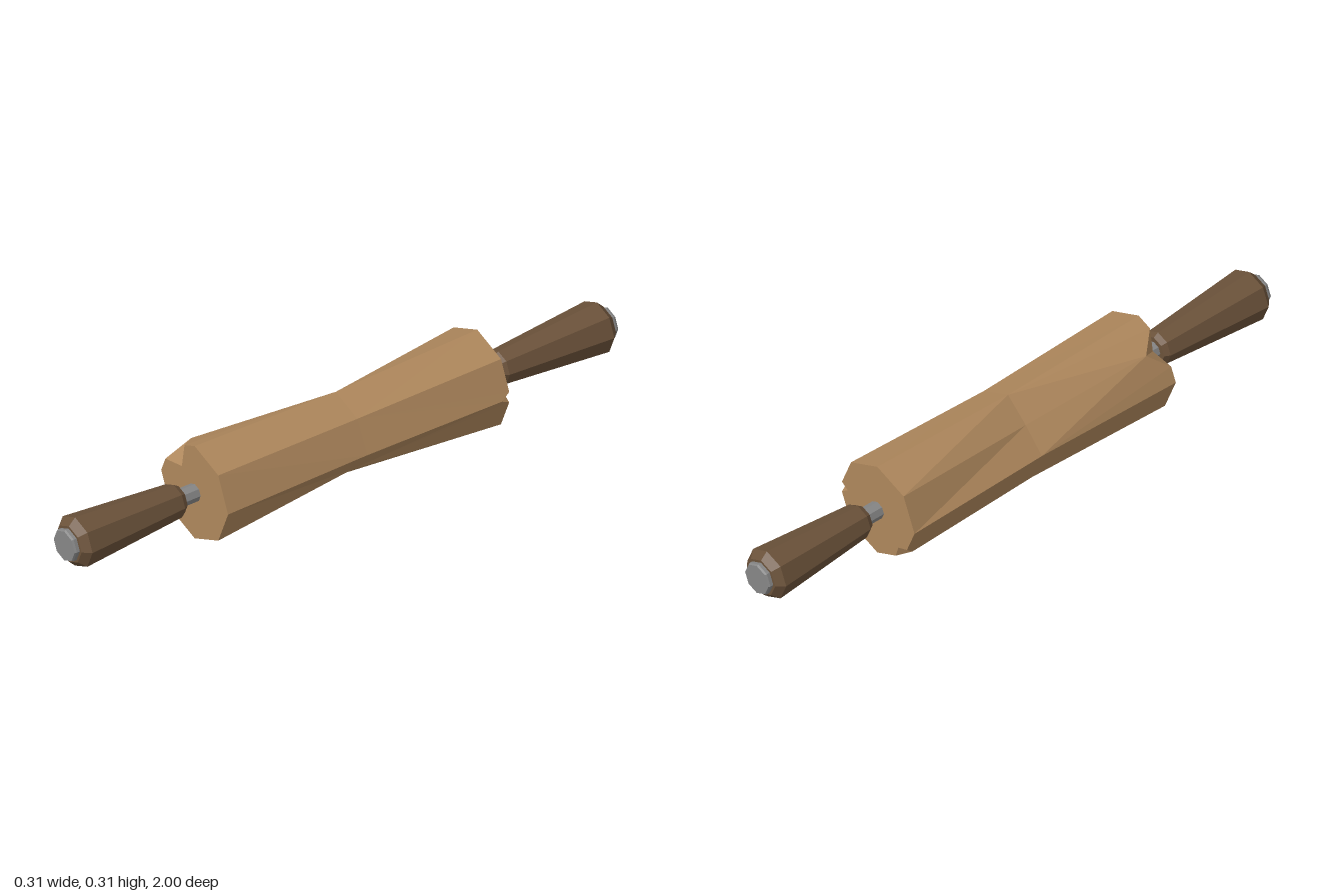
import * as THREE from 'three';

const SIDES = 8, CENTER_Y = 0.16;
const wood = new THREE.MeshStandardMaterial({ color: 0xae875c });
wood.name = 'lightWood';
const darkWood = new THREE.MeshStandardMaterial({ color: 0x6b523a });
darkWood.name = 'darkWood';
const metal = new THREE.MeshStandardMaterial({ color: 0x868686 });
metal.name = 'metal';

// Separate corners so every face is shaded flat
function faceted(geometry) {
  const g = geometry.index ? geometry.toNonIndexed() : geometry;
  g.computeVertexNormals();
  return g;
}

function addMesh(parent, name, geometry, material) {
  const mesh = new THREE.Mesh(faceted(geometry), material);
  mesh.name = name;
  parent.add(mesh);
}

// Eight-sided turned part along z
function turned(profile) {
  const points = profile.map(([r, z]) => new THREE.Vector2(r, z));
  return new THREE.LatheGeometry(points, SIDES).rotateX(Math.PI / 2);
}

function ring(z, radii) {
  return radii.map((r, i) => {
    const a = (i / SIDES) * Math.PI * 2;
    return new THREE.Vector3(Math.cos(a) * r, Math.sin(a) * r, z);
  });
}

// Waisted roller with dented middle corners and chipped end corners
function rollerGeometry() {
  const positions = [];
  const fan = (points, flip) => {
    for (let k = 1; k < points.length - 1; k++) {
      const tri = [points[0], points[k], points[k + 1]];
      if (flip) tri.reverse();
      tri.forEach((p) => positions.push(p.x, p.y, p.z));
    }
  };

  const middle = ring(0, [0.148, 0.143, 0.144, 0.106, 0.143, 0.143, 0.142, 0.113]);
  const ends = [
    { z: 0.52, chips: { 3: { along: 0.57, inward: 0.46, depth: 0.135 } } },
    {
      z: -0.52,
      chips: {
        0: { along: 0.16, inward: 0.2, depth: 0.06 },
        5: { along: 0.3, inward: 0.2, depth: 0.07 },
      },
    },
  ];

  for (const { z, chips } of ends) {
    const flip = z < 0;
    const center = new THREE.Vector3(0, 0, z);
    const rim = ring(z, Array(SIDES).fill(0.157));
    const corners = rim.map((v, i) => {
      const chip = chips[i];
      if (!chip) return { before: [v], after: [v], cap: [v] };
      const next = v.clone().lerp(rim[(i + 1) % SIDES], chip.along);
      const prev = v.clone().lerp(rim[(i + SIDES - 1) % SIDES], chip.along);
      const inner = v.clone().lerp(center, chip.inward);
      const ridge = v.clone().lerp(middle[i], chip.depth);
      fan([ridge, next, inner], flip);
      fan([ridge, inner, prev], flip);
      return { before: [ridge, prev], after: [next, ridge], cap: [prev, inner, next] };
    });

    // Long side facets
    for (let i = 0; i < SIDES; i++) {
      const j = (i + 1) % SIDES;
      const edge = [...corners[j].before, ...corners[i].after];
      fan(chips[i] ? [middle[j], ...edge, middle[i]] : [middle[i], middle[j], ...edge], flip);
    }

    // End cap
    const outline = corners.flatMap((c) => c.cap);
    fan([center, ...outline, outline[0]], flip);
  }

  const g = new THREE.BufferGeometry();
  g.setAttribute('position', new THREE.Float32BufferAttribute(positions, 3));
  return g;
}

function createHandle(name) {
  const group = new THREE.Group();
  group.name = name;
  // Tapered grip with bevelled ends
  addMesh(group, 'grip', turned([
    [0, 0.58], [0.044, 0.58], [0.054, 0.597], [0.082, 0.96], [0.06, 0.983], [0, 0.983],
  ]), darkWood);
  // Exposed rod between roller and grip
  addMesh(group, 'rod', turned([[0.028, 0.5], [0.028, 0.6]]), metal);
  // Metal end plug
  addMesh(group, 'endPlug', turned([
    [0.052, 0.97], [0.052, 0.994], [0.049, 1], [0, 1],
  ]), metal);
  return group;
}

export function createModel() {
  const model = new THREE.Group();
  model.name = 'rollingPin';
  const pin = new THREE.Group();
  pin.name = 'pinAssembly';
  pin.position.y = CENTER_Y;
  model.add(pin);

  addMesh(pin, 'roller', rollerGeometry(), wood);
  pin.add(createHandle('frontHandle'));
  const back = createHandle('backHandle');
  back.rotation.y = Math.PI;
  pin.add(back);
  return model;
}
